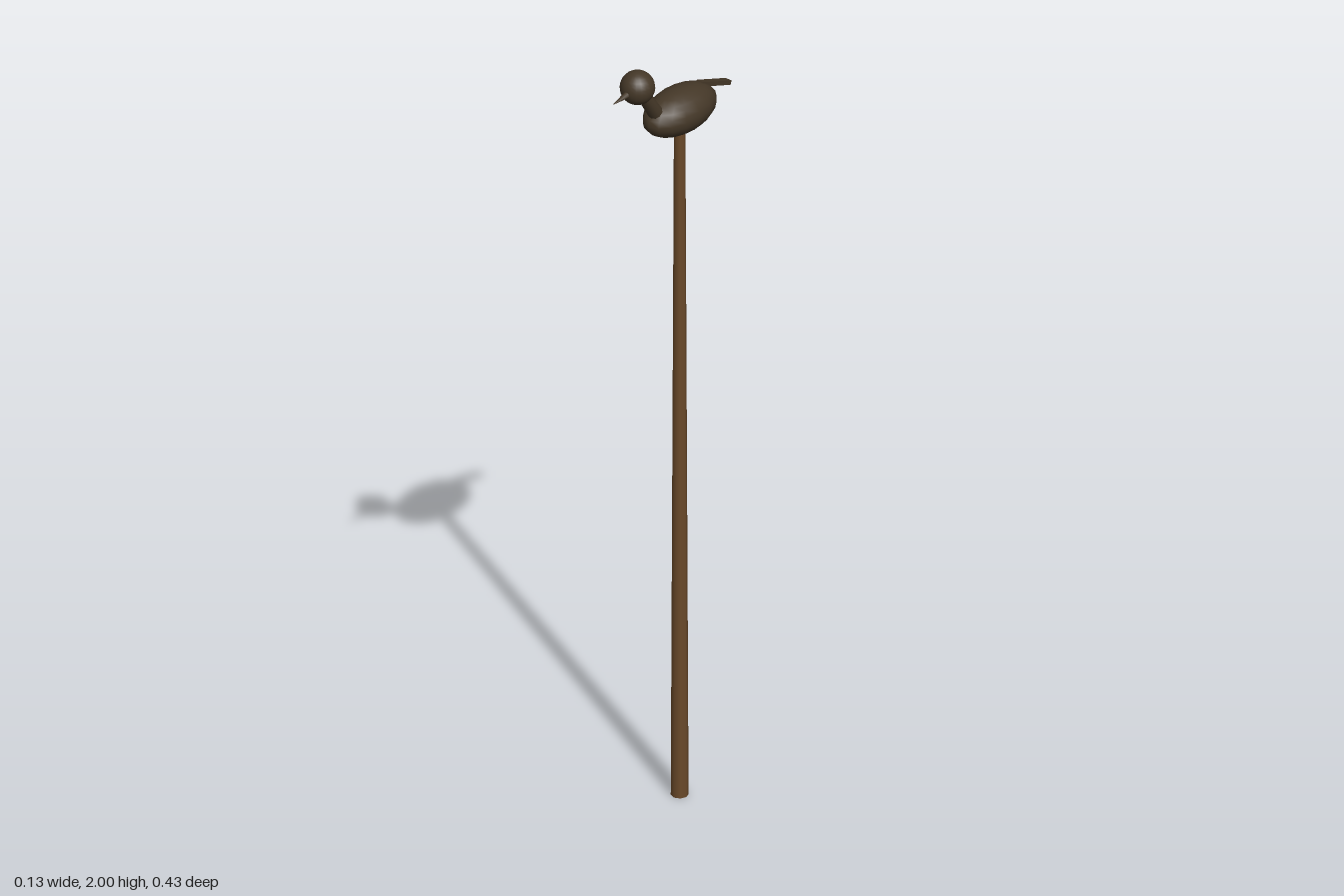
import * as THREE from 'three';

const wood = new THREE.MeshStandardMaterial({ color: 0x6b4a2a });
const dark = new THREE.MeshStandardMaterial({ color: 0x453828 });
const UP = new THREE.Vector3(0, 1, 0);

export function createModel() {
  const model = new THREE.Group();
  model.name = 'birdOnPole';

  const add = (name, geometry, material, x, y, z) => {
    const mesh = new THREE.Mesh(geometry, material);
    mesh.name = name;
    mesh.position.set(x, y, z);
    model.add(mesh);
    return mesh;
  };

  // Tapered round part running from point a to point b
  const limb = (name, a, b, rA, rB, sides) => {
    const from = new THREE.Vector3(...a), to = new THREE.Vector3(...b);
    const dir = to.clone().sub(from);
    const mid = from.clone().add(to).multiplyScalar(0.5);
    const geometry = new THREE.CylinderGeometry(rB, rA, dir.length(), sides);
    const mesh = add(name, geometry, dark, mid.x, mid.y, mid.z);
    mesh.quaternion.setFromUnitVectors(UP, dir.normalize());
  };

  // Tall tapered pole
  add('pole', new THREE.CylinderGeometry(0.0135, 0.021, 1.8, 8), wood, 0, 0.9, -0.035);

  // Egg-shaped body
  add('body', new THREE.SphereGeometry(1, 16, 12), dark, 0, 1.834, -0.035)
    .scale.set(0.063, 0.056, 0.115);

  // Neck, head and pointed beak
  limb('neck', [0, 1.857, 0.05], [0, 1.945, 0.11], 0.019, 0.015, 10);
  add('head', new THREE.SphereGeometry(0.042, 20, 14), dark, 0, 1.958, 0.12);
  limb('beak', [0, 1.955, 0.15], [0, 1.949, 0.212], 0.01, 0, 8);

  // Flat tail sloping down to the back
  add('tail', new THREE.BoxGeometry(0.019, 0.011, 0.112), dark, 0, 1.853, -0.16)
    .rotation.x = -0.36;

  return model;
}
